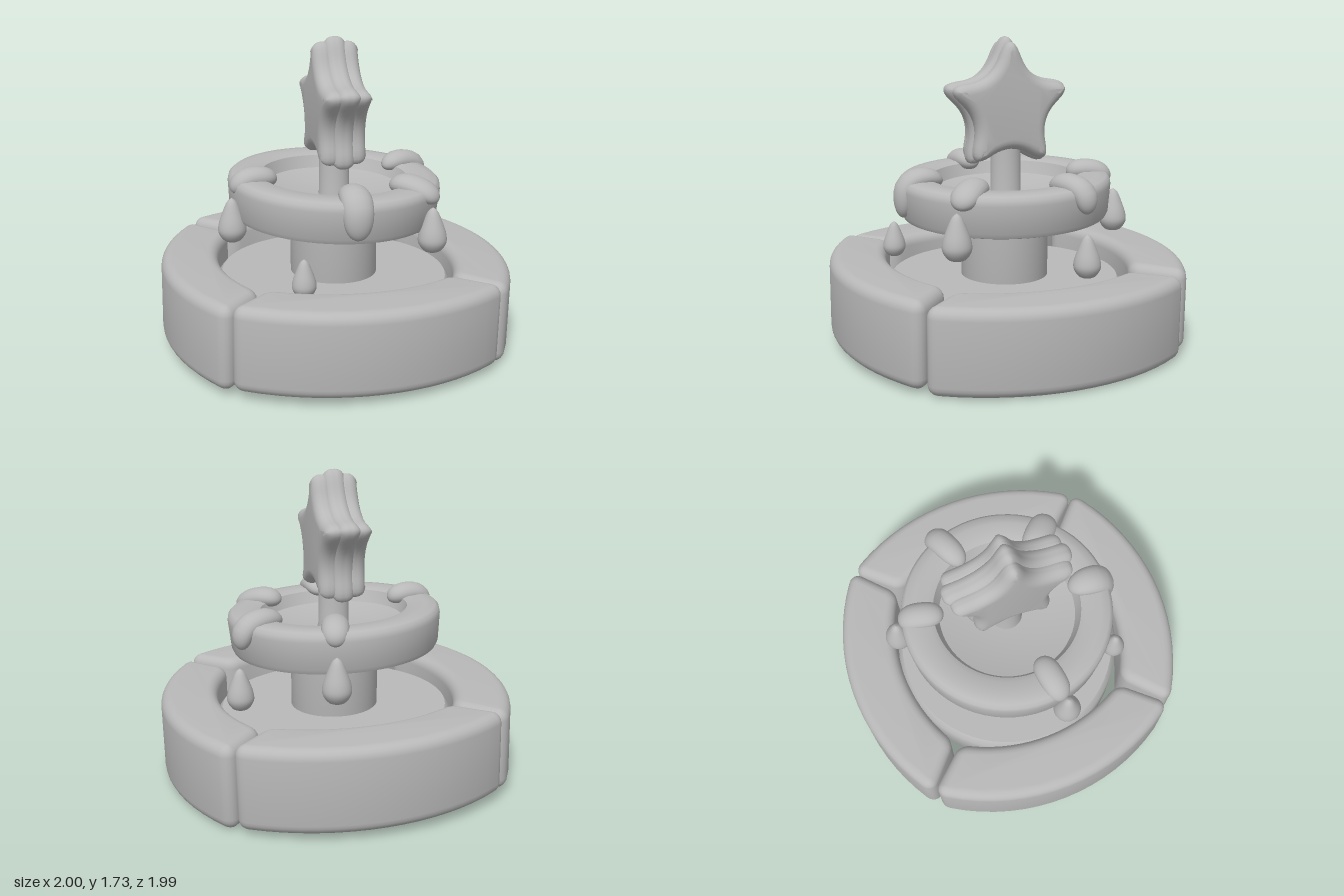
import * as THREE from 'three';
import { toCreasedNormals, mergeVertices } from 'three/addons/utils/BufferGeometryUtils.js';

const stone = new THREE.MeshStandardMaterial({ color: 0xb8b8b8 });
stone.name = 'grey stone';

function add(parent, name, geometry) {
  const mesh = new THREE.Mesh(geometry, stone);
  mesh.name = name;
  parent.add(mesh);
  return mesh;
}

function lathe(points, segments = 64) {
  const geo = new THREE.LatheGeometry(points.map(([r, y]) => new THREE.Vector2(r, y)), segments);
  return toCreasedNormals(geo.toNonIndexed(), 0.7);
}

// Extrusion with rounded rims that stays inside the outline, centred on its depth
function pillow(shape, depth, bevel, curveSegments = 6) {
  const geo = new THREE.ExtrudeGeometry(shape, {
    depth: depth - 2 * bevel, bevelEnabled: true, bevelSize: bevel, bevelThickness: bevel,
    bevelOffset: -bevel, bevelSegments: 5, curveSegments,
  });
  geo.translate(0, 0, bevel - depth / 2);
  return toCreasedNormals(geo, 0.8);
}

// Plan of one rim block: a rounded rectangle bent around the centre
function rimShape() {
  const half = 0.777, inner = 0.67, outer = 0.995, corner = 0.065;
  const flat = [];
  const arc = (angle, radius, start) => {
    for (let i = 0; i <= 5; i++) {
      const a = start + (i / 5) * Math.PI / 2;
      flat.push([angle + Math.cos(a) * corner / radius, radius + Math.sin(a) * corner]);
    }
  };
  const side = (r, from, to) => {
    for (let i = 1; i < 16; i++) flat.push([from + (to - from) * i / 16, r]);
  };
  const o = half - corner / outer, n = half - corner / inner;
  arc(o, outer - corner, 0);
  side(outer, o, -o);
  arc(-o, outer - corner, Math.PI / 2);
  arc(-n, inner + corner, Math.PI);
  side(inner, -n, n);
  arc(n, inner + corner, Math.PI * 1.5);
  return new THREE.Shape(flat.map(([a, r]) => {
    const R = r + 0.065 * (a / half) ** 2;
    return new THREE.Vector2(R * Math.sin(a), R * Math.cos(a));
  }));
}

// Plump five-pointed star with softened tips and valleys, the top tip a little longer
function starShape(scale) {
  const corners = [];
  for (let i = 0; i < 10; i++) {
    const a = Math.PI / 2 + i * Math.PI / 5;
    const r = (i % 2 ? 0.212 : i ? 0.437 : 0.462) * scale;
    corners.push(new THREE.Vector2(r * Math.cos(a), r * Math.sin(a)));
  }
  const shape = new THREE.Shape();
  corners.forEach((c, i) => {
    const a = c.clone().lerp(corners[(i + 9) % 10], 0.46);
    const b = c.clone().lerp(corners[(i + 1) % 10], 0.46);
    if (i) shape.lineTo(a.x, a.y); else shape.moveTo(a.x, a.y);
    shape.quadraticCurveTo(c.x, c.y, b.x, b.y);
  });
  shape.closePath();
  return shape;
}

// Blob of water bent along a path of [radius, height] points
function spill(path, width, thick) {
  const curve = new THREE.CatmullRomCurve3(path.map(([r, y]) => new THREE.Vector3(0, y, r)));
  let geo = new THREE.SphereGeometry(1, 20, 20);
  geo.deleteAttribute('uv');
  geo.deleteAttribute('normal');
  geo = mergeVertices(geo);
  const p = geo.attributes.position;
  for (let i = 0; i < p.count; i++) {
    const s = THREE.MathUtils.clamp(p.getY(i), -1, 1);
    const ring = Math.hypot(p.getX(i), p.getZ(i)) || 1;
    const swell = Math.sqrt(Math.max(0, 1 - Math.abs(s) ** 3)) / ring;
    const t = (1 - s) / 2;
    const c = curve.getPointAt(t), d = curve.getTangentAt(t);
    const u = p.getX(i) * swell * width, v = p.getZ(i) * swell * thick;
    p.setXYZ(i, u, c.y + d.z * v, c.z - d.y * v);
  }
  geo.computeVertexNormals();
  return geo;
}

export function createModel() {
  const model = new THREE.Group();
  model.name = 'fountain';

  // Lower basin: four rim blocks around a floor, leaning slightly, side blocks a little lower
  const basin = new THREE.Group();
  basin.name = 'basin';
  basin.rotation.z = -0.02;
  basin.position.x = -0.005;
  model.add(basin);
  const rim = pillow(rimShape(), 0.465, 0.06);
  rim.rotateX(-Math.PI / 2);
  for (let k = 0; k < 4; k++) {
    const block = add(basin, 'rimBlock', rim);
    block.position.y = k % 2 ? 0.246 : 0.265;
    block.rotation.y = k * Math.PI / 2;
  }
  add(basin, 'basinFloor', lathe([[0, 0.11], [0.66, 0.11], [0.675, 0.13], [0.675, 0.34], [0.65, 0.37], [0, 0.37]]));

  // Column with a shallow domed foot below the floor
  add(model, 'column', lathe([[0, 0.045], [0.12, 0.05], [0.2, 0.07], [0.235, 0.1], [0.25, 0.15], [0.25, 0.76], [0, 0.76]]));

  // Upper bowl
  const bowl = add(model, 'upperBowl', lathe([
    [0, -0.11], [0.55, -0.115], [0.58, -0.105], [0.592, -0.08], [0.605, 0.07], [0.6, 0.1], [0.58, 0.118],
    [0.53, 0.125], [0.45, 0.122], [0.42, 0.11], [0.408, 0.08], [0.39, 0.04], [0.25, 0.005], [0.09, -0.005], [0, -0.005],
  ]));
  bowl.position.y = 0.835;
  bowl.rotation.set(0.025, 0, -0.035);

  // Water spilling over the bowl edge: direction (x, z), path, half width
  const spills = [
    [-0.5, 0.08, [[0.35, 0.95], [0.43, 0.975], [0.53, 0.97], [0.61, 0.91]], 0.075],
    [-0.02, 0.5, [[0.37, 0.93], [0.47, 0.958], [0.57, 0.925], [0.6, 0.74]], 0.085],
    [0.38, 0.36, [[0.36, 0.93], [0.45, 0.945], [0.56, 0.92], [0.645, 0.87]], 0.085],
    [0.5, -0.2, [[0.37, 0.93], [0.48, 0.955], [0.6, 0.92], [0.635, 0.81]], 0.075],
    [0.13, -0.48, [[0.36, 0.95], [0.44, 0.968], [0.54, 0.955], [0.61, 0.9]], 0.075],
  ];
  for (const [x, z, path, width] of spills) {
    add(model, 'spill', spill(path, width, 0.06)).rotation.y = Math.atan2(x, z);
  }

  // Falling drops: x, bottom y, z, size
  const profile = new THREE.SplineCurve([
    [0, 0], [0.045, 0.01], [0.076, 0.055], [0.074, 0.105], [0.052, 0.17], [0.026, 0.228], [0, 0.25],
  ].map(([r, y]) => new THREE.Vector2(r, y))).getPoints(24);
  profile.forEach((p) => { p.x = Math.max(0, p.x); });
  const drop = new THREE.LatheGeometry(profile, 24);
  for (const [x, y, z, size] of [
    [-0.61, 0.635, 0.13, 1], [0.44, 0.588, 0.45, 1.02], [0.595, 0.465, -0.23, 0.95],
    [-0.31, 0.45, 0.57, 0.83], [0.16, 0.6, -0.62, 1],
  ]) {
    const mesh = add(model, 'drop', drop);
    mesh.position.set(x, y, z);
    mesh.scale.setScalar(size);
  }

  // Post and layered star facing sideways
  const post = add(model, 'post', lathe([[0, 0], [0.1, 0], [0.087, 0.05], [0.084, 0.42], [0, 0.42]], 32));
  post.position.set(0.005, 0.8, -0.005);
  const star = new THREE.Group();
  star.name = 'star';
  star.position.set(0.005, 1.333, 0);
  star.rotation.y = Math.PI / 2;
  model.add(star);
  add(star, 'starCore', pillow(starShape(1), 0.13, 0.055, 8));
  const face = pillow(starShape(0.93), 0.12, 0.055, 8);
  for (const s of [-1, 1]) add(star, 'starFace', face).position.z = s * 0.073;

  return model;
}
